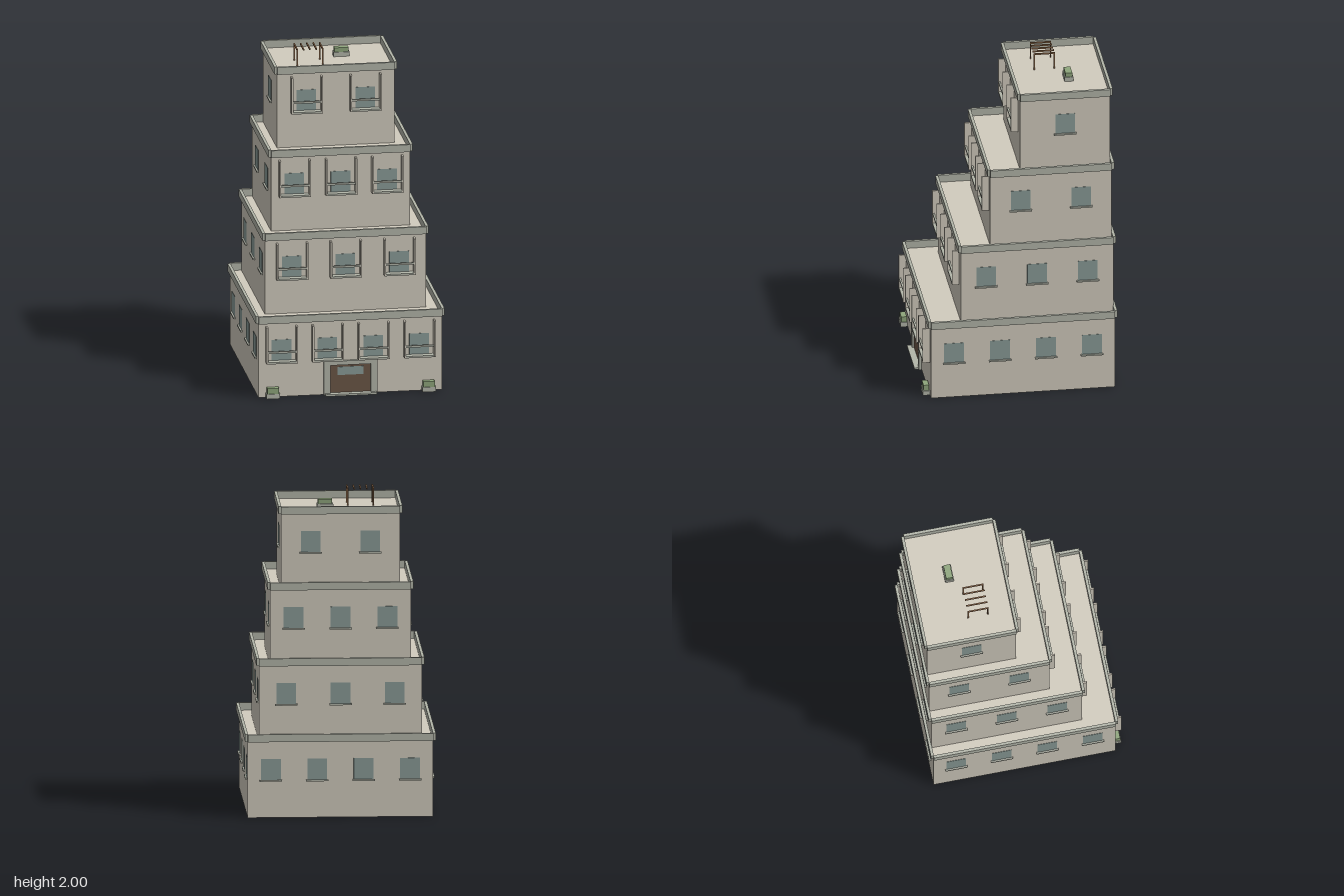
import * as THREE from 'three';

const material = (color) => new THREE.MeshStandardMaterial({ color });

export function createModel() {
  const model = new THREE.Group();
  model.name = 'terracedBuilding';

  const wall = material(0xd2ccbe);
  const trim = material(0xb3b6aa);
  const glass = material(0x8a9c98);
  const doorWood = material(0x6b5646);
  const wood = material(0x96704f);
  const leaf = material(0x8fa67c);

  // Box given by its low and high limits on each axis
  function box(parent, name, mat, [x0, x1], [y0, y1], [z0, z1]) {
    const mesh = new THREE.Mesh(new THREE.BoxGeometry(x1 - x0, y1 - y0, z1 - z0), mat);
    mesh.position.set((x0 + x1) / 2, (y0 + y1) / 2, (z0 + z1) / 2);
    mesh.name = name;
    parent.add(mesh);
    return mesh;
  }

  function group(parent, name, x, y, z, turn = 0) {
    const g = new THREE.Group();
    g.name = name;
    g.position.set(x, y, z);
    g.rotation.y = turn;
    parent.add(g);
    return g;
  }

  // Evenly spaced centres along a wall
  const spread = (count, length) =>
    Array.from({ length: count }, (_, i) => ((i + 0.5) / count - 0.5) * length);

  // Pane facing local +z, with a plain sill or a bay balcony
  function addWindow(parent, x, y, z, turn, balcony) {
    const w = group(parent, balcony ? 'balconyWindow' : 'window', x, y, z, turn);
    box(w, 'pane', glass, [-0.061, 0.061], [0.232, 0.366], [-0.01, 0.002]);
    if (!balcony) {
      box(w, 'sill', trim, [-0.069, 0.069], [0.226, 0.236], [0, 0.012]);
      return;
    }
    box(w, 'balconyFloor', trim, [-0.097, 0.097], [0.222, 0.234], [0, 0.044]);
    box(w, 'balconyRail', trim, [-0.088, 0.088], [0.289, 0.301], [0.032, 0.043]);
    for (const s of [-1, 1]) {
      box(w, 'balconySide', wall, [s * 0.0925 - 0.005, s * 0.0925 + 0.005], [0.222, 0.454], [0, 0.045]);
    }
  }

  // Four stepped storeys sharing one back plane
  const back = -0.585;
  const height = 0.4725;
  const rim = 0.016;
  const storeys = [
    { half: 0.57, front: 0.555, across: 4, deep: 4 },
    { half: 0.5, front: 0.36, across: 3, deep: 3 },
    { half: 0.432, front: 0.168, across: 3, deep: 2 },
    { half: 0.365, front: -0.027, across: 2, deep: 1 },
  ];

  storeys.forEach(({ half, front, across, deep }, i) => {
    const y = i * height;
    const s = group(model, 'storey' + (i + 1), 0, 0, 0);
    box(s, 'walls', wall, [-half, half], [y, y + height], [back, front]);

    // Parapet bars hung outside the wall line, open at the corners
    const rimY = [y + height, y + height + 0.047];
    box(s, 'parapetFront', trim, [-half, half], rimY, [front - 0.002, front + rim]);
    box(s, 'parapetBack', trim, [-half, half], rimY, [back - rim, back + 0.002]);
    box(s, 'parapetLeft', trim, [half - 0.002, half + rim], rimY, [back, front]);
    box(s, 'parapetRight', trim, [-half - rim, -half + 0.002], rimY, [back, front]);

    for (const x of spread(across, 2 * half)) {
      addWindow(s, x, y, front, 0, true);
      addWindow(s, x, y, back, Math.PI, false);
    }
    for (const dz of spread(deep, front - back)) {
      const z = (front + back) / 2 + dz;
      addWindow(s, half, y, z, Math.PI / 2, false);
      addWindow(s, -half, y, z, -Math.PI / 2, false);
    }
  });

  // Entrance
  const entrance = group(model, 'entrance', 0, 0, 0.555);
  box(entrance, 'door', doorWood, [-0.125, 0.125], [0.01, 0.19], [-0.01, 0.006]);
  box(entrance, 'doorPane', glass, [-0.08, 0.08], [0.124, 0.176], [0, 0.009]);
  box(entrance, 'lintel', trim, [-0.167, 0.167], [0.19, 0.216], [0, 0.018]);
  box(entrance, 'step', trim, [-0.16, 0.16], [0, 0.012], [0, 0.045]);
  for (const s of [-1, 1]) {
    box(entrance, 'doorJamb', trim, [s * 0.146 - 0.021, s * 0.146 + 0.021], [0, 0.19], [0, 0.018]);
  }

  // Ground planters
  for (const s of [-1, 1]) {
    const p = group(model, 'groundPlanter', s * 0.484, 0, 0.577);
    box(p, 'trough', trim, [-0.042, 0.042], [0, 0.03], [-0.022, 0.022]);
    box(p, 'shrub', leaf, [-0.036, 0.036], [0.03, 0.066], [-0.017, 0.017]);
  }

  // Roof planter
  const roof = 4 * height;
  const planter = group(model, 'roofPlanter', 0.085, roof, -0.363);
  box(planter, 'trough', trim, [-0.05, 0.05], [0, 0.028], [-0.027, 0.027]);
  box(planter, 'shrub', leaf, [-0.044, 0.044], [0.028, 0.055], [-0.021, 0.021]);

  // Roof pergola: five slats, posts under the outer two
  const pergola = group(model, 'pergola', -0.137, roof, -0.236);
  for (let i = -2; i <= 2; i++) {
    const x = [i * 0.0395 - 0.004, i * 0.0395 + 0.004];
    box(pergola, 'slat', wood, x, [0.101, 0.11], [-0.066, 0.066]);
    if (Math.abs(i) < 2) continue;
    for (const z of [-0.062, 0.062]) {
      box(pergola, 'post', wood, x, [0, 0.101], [z - 0.004, z + 0.004]);
    }
  }

  return model;
}
